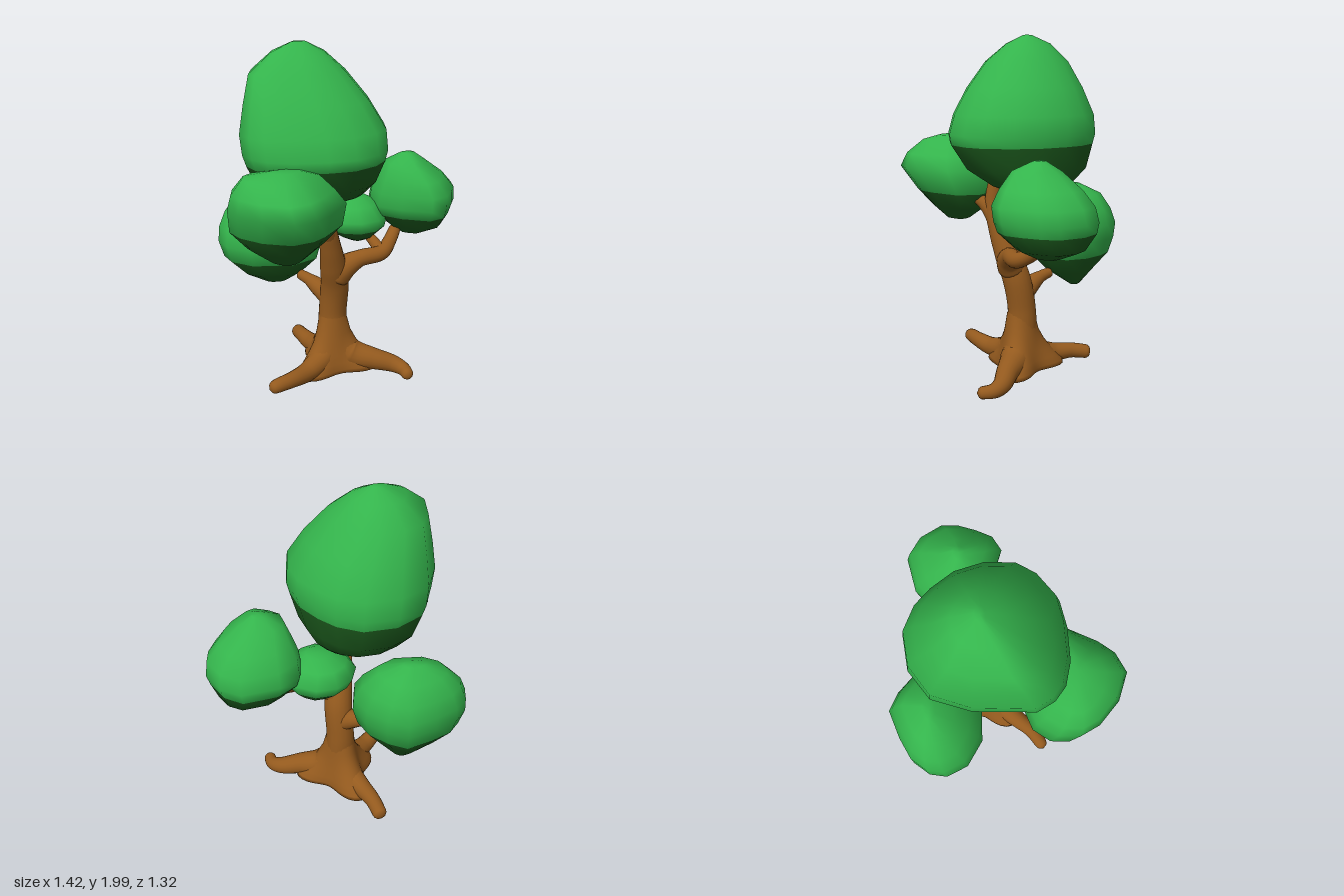
import * as THREE from 'three';
import { mergeVertices } from 'three/addons/utils/BufferGeometryUtils.js';

const bark = new THREE.MeshStandardMaterial({ color: 0x945a1e });
bark.name = 'bark brown';
const leaf = new THREE.MeshStandardMaterial({ color: 0x34b44c });
leaf.name = 'leaf green';
const shade = new THREE.MeshStandardMaterial({ color: 0x1c5a1d });
shade.name = 'deep green';

// Weld seams and smooth the normals of a wooden part
function wood(name, geometry) {
  geometry.deleteAttribute('uv');
  geometry.deleteAttribute('normal');
  const geo = mergeVertices(geometry, 1e-5);
  geo.computeVertexNormals();
  const mesh = new THREE.Mesh(geo, bark);
  mesh.name = name;
  return mesh;
}

// Tapered round-ended limb through points [x, y, z, radius], flattened at the ground
function limb(name, pts, endCap = 0.06) {
  const segs = 48, sides = 18;
  const curve = new THREE.CatmullRomCurve3(pts.map(p => new THREE.Vector3(p[0], p[1], p[2])));
  const geo = new THREE.TubeGeometry(curve, segs, 1, sides);
  const pos = geo.attributes.position, v = new THREE.Vector3();
  for (let i = 0; i <= segs; i++) {
    const u = i / segs, c = curve.getPointAt(u);
    const t = curve.getUtoTmapping(u) * (pts.length - 1);
    const k = Math.min(Math.floor(t), pts.length - 2);
    let r = THREE.MathUtils.lerp(pts[k][3], pts[k + 1][3], t - k);
    const e = Math.min(u, 1 - u) / endCap;
    if (e < 1) r *= Math.sqrt(1 - (1 - e) ** 2) + 1e-4;
    for (let j = 0; j <= sides; j++) {
      const n = i * (sides + 1) + j;
      v.fromBufferAttribute(pos, n).sub(c).multiplyScalar(r).add(c);
      pos.setXYZ(n, v.x, Math.max(v.y, 0.01), v.z);
    }
  }
  return wood(name, geo);
}

// Flared foot of the trunk, swelling towards each root direction [x, z]
function rootFlare(name, directions) {
  const profile = [[0, 0.02], [0.1, 0.02], [0.135, 0.035], [0.14, 0.06], [0.132, 0.1], [0.12, 0.15],
    [0.108, 0.2], [0.096, 0.27], [0.08, 0.38]];
  const geo = new THREE.LatheGeometry(profile.map(p => new THREE.Vector2(...p)), 48);
  const pos = geo.attributes.position, dirs = directions.map(d => new THREE.Vector2(...d).normalize());
  for (let i = 0; i < pos.count; i++) {
    const x = pos.getX(i), y = pos.getY(i), z = pos.getZ(i), r = Math.hypot(x, z) || 1;
    const lobe = dirs.reduce((s, d) => s + Math.max(0, (x * d.x + z * d.y) / r) ** 6, 0);
    const k = 1 + 1.2 * lobe * Math.max(0, 1 - y / 0.33) ** 1.3;
    pos.setXYZ(i, x * k - 0.07, y, z * k - 0.06);
  }
  return wood(name, geo);
}

// Leaf clump: a plan outline fitted into the box of every ring [y, xMin, xMax, zMin, zMax], top to bottom.
// Faces below the height "split" take the deep green.
function clump(name, outline, rings, split) {
  const area = outline.reduce((s, [x, z], i) => {
    const [x2, z2] = outline[(i + 1) % outline.length];
    return s + z * x2 - x * z2;
  }, 0);
  const plan = area < 0 ? [...outline].reverse() : outline;
  const xs = plan.map(p => p[0]), zs = plan.map(p => p[1]);
  const x0 = Math.min(...xs), x1 = Math.max(...xs), z0 = Math.min(...zs), z1 = Math.max(...zs);
  const n = plan.length, verts = [], light = [], dark = [];
  for (const [y, xa, xb, za, zb] of rings)
    for (const [x, z] of plan)
      verts.push(xa + (xb - xa) * (x - x0) / (x1 - x0), y, za + (zb - za) * (z - z0) / (z1 - z0));
  const last = rings.length - 1, top = rings.length * n, bottom = top + 1;
  for (const [y, xa, xb, za, zb] of [rings[0], rings[last]])
    verts.push((xa + xb) / 2, y, (za + zb) / 2);
  for (let j = 0; j < n; j++) {
    const k = (j + 1) % n;
    light.push(top, j, k);
    for (let i = 0; i < last; i++) {
      const a = i * n + j, b = a + n, c = (i + 1) * n + k, d = i * n + k;
      (rings[i][0] > split ? light : dark).push(a, b, c, a, c, d);
    }
    dark.push(bottom, last * n + k, last * n + j);
  }
  const geo = new THREE.BufferGeometry();
  geo.setAttribute('position', new THREE.Float32BufferAttribute(verts, 3));
  geo.setIndex([...light, ...dark]);
  geo.addGroup(0, light.length, 0);
  geo.addGroup(light.length, dark.length, 1);
  geo.computeVertexNormals();
  const mesh = new THREE.Mesh(geo, [leaf, shade]);
  mesh.name = name;
  return mesh;
}

export function createModel() {
  const tree = new THREE.Group();
  tree.name = 'tree';

  // Trunk and branches
  tree.add(
    limb('trunk', [
      [-0.07, 0.1, -0.06, 0.1], [-0.07, 0.24, -0.065, 0.092],
      [-0.068, 0.4, -0.065, 0.084], [-0.062, 0.58, -0.035, 0.084], [-0.08, 0.72, 0.015, 0.078],
      [-0.11, 0.88, 0.07, 0.06], [-0.135, 1.02, 0.1, 0.05], [-0.14, 1.22, 0.07, 0.045]], 0.02),
    limb('rightBranch', [
      [-0.07, 0.63, -0.01, 0.085], [-0.02, 0.7, 0.01, 0.076], [0.08, 0.752, 0.01, 0.05],
      [0.22, 0.765, -0.02, 0.046], [0.29, 0.81, -0.09, 0.04], [0.35, 0.88, -0.16, 0.034]]),
    limb('rightTwig', [[0.22, 0.77, -0.02, 0.038], [0.19, 0.81, -0.09, 0.032], [0.15, 0.86, -0.16, 0.026]]),
    limb('backBranch', [
      [-0.07, 0.48, -0.06, 0.07], [-0.14, 0.53, -0.13, 0.055], [-0.19, 0.56, -0.19, 0.036],
      [-0.24, 0.575, -0.255, 0.03]]),
    limb('frontBranch', [[-0.12, 0.93, 0.09, 0.048], [-0.15, 1.01, 0.14, 0.042], [-0.19, 1.07, 0.22, 0.028]])
  );

  // Roots
  tree.add(
    rootFlare('rootFlare', [[0.35, 0.1], [-0.33, 0.23], [-0.13, -0.4]]),
    limb('rightRoot', [
      [-0.07, 0.22, -0.05, 0.07], [0.03, 0.12, -0.02, 0.09], [0.16, 0.09, 0.03, 0.066],
      [0.28, 0.06, 0.07, 0.052], [0.33, 0.045, 0.12, 0.042], [0.34, 0.04, 0.21, 0.034]]),
    limb('leftRoot', [
      [-0.08, 0.22, -0.05, 0.07], [-0.14, 0.13, 0, 0.08], [-0.26, 0.09, 0.1, 0.058],
      [-0.37, 0.1, 0.19, 0.046], [-0.45, 0.1, 0.23, 0.042], [-0.505, 0.09, 0.25, 0.034]]),
    limb('backRoot', [
      [-0.07, 0.22, -0.07, 0.07], [-0.1, 0.12, -0.14, 0.085], [-0.16, 0.085, -0.26, 0.058],
      [-0.2, 0.08, -0.38, 0.046], [-0.22, 0.06, -0.505, 0.042]])
  );

  // Leaf clumps
  tree.add(
    clump('crown',
      [[-0.6, 0.12], [-0.54, -0.2], [-0.44, -0.4], [-0.27, -0.49], [-0.08, -0.49], [0.05, -0.41], [0.13, -0.31],
        [0.205, -0.17], [0.23, 0], [0.2, 0.17], [0.12, 0.27], [-0.02, 0.35], [-0.17, 0.36], [-0.36, 0.34],
        [-0.49, 0.29], [-0.56, 0.22]],
      [[2, -0.28, -0.2, -0.13, -0.08], [1.95, -0.4, -0.1, -0.24, 0.02], [1.85, -0.53, 0.01, -0.34, 0.14],
        [1.7, -0.57, 0.13, -0.42, 0.25], [1.55, -0.6, 0.22, -0.48, 0.33], [1.44, -0.59, 0.225, -0.49, 0.36],
        [1.38, -0.57, 0.21, -0.475, 0.35], [1.24, -0.51, 0.17, -0.44, 0.26], [1.14, -0.42, 0.11, -0.35, 0.11],
        [1.09, -0.33, 0.05, -0.27, -0.02]], 1.38),
    clump('frontClump',
      [[-0.4, 0.66], [-0.28, 0.62], [-0.2, 0.54], [-0.08, 0.36], [-0.1, 0.2], [-0.25, 0.08], [-0.45, 0.08],
        [-0.6, 0.12], [-0.68, 0.22], [-0.7, 0.34], [-0.66, 0.45], [-0.55, 0.58]],
      [[1.41, -0.48, -0.32, 0.32, 0.42], [1.38, -0.62, -0.22, 0.22, 0.52], [1.3, -0.68, -0.14, 0.14, 0.62],
        [1.22, -0.7, -0.08, 0.09, 0.66], [1.08, -0.69, -0.09, 0.08, 0.56], [0.98, -0.6, -0.19, 0.14, 0.47],
        [0.9, -0.48, -0.3, 0.24, 0.38]], 1.08),
    clump('backClump',
      [[-0.71, -0.4], [-0.68, -0.5], [-0.6, -0.58], [-0.47, -0.63], [-0.3, -0.67], [-0.2, -0.6], [-0.11, -0.49],
        [-0.07, -0.35], [-0.11, -0.21], [-0.28, -0.12], [-0.54, -0.16], [-0.67, -0.27]],
      [[1.1, -0.45, -0.32, -0.46, -0.39], [1.05, -0.57, -0.19, -0.57, -0.28], [0.96, -0.66, -0.11, -0.63, -0.2],
        [0.87, -0.7, -0.07, -0.66, -0.14], [0.78, -0.71, -0.07, -0.65, -0.12], [0.68, -0.68, -0.1, -0.62, -0.14],
        [0.57, -0.57, -0.2, -0.53, -0.24], [0.475, -0.42, -0.3, -0.45, -0.38]], 0.68),
    clump('rightClump',
      [[0.71, -0.2], [0.65, -0.34], [0.55, -0.42], [0.34, -0.4], [0.22, -0.32], [0.19, -0.2], [0.21, -0.05],
        [0.32, 0.05], [0.48, 0.13], [0.58, 0.09], [0.64, 0], [0.69, -0.1]],
      [[1.34, 0.36, 0.44, -0.16, -0.09], [1.29, 0.27, 0.51, -0.24, 0.02], [1.2, 0.23, 0.63, -0.34, 0.09],
        [1.12, 0.2, 0.7, -0.4, 0.13], [1.04, 0.19, 0.71, -0.42, 0.12], [0.98, 0.21, 0.69, -0.41, 0.1],
        [0.89, 0.3, 0.65, -0.35, 0], [0.835, 0.38, 0.52, -0.24, -0.1]], 0.98),
    clump('smallClump',
      Array.from({ length: 11 }, (_, i) => [Math.sin(i * Math.PI / 5.5), Math.cos(i * Math.PI / 5.5)]),
      [[1.08, 0.02, 0.16, -0.24, -0.11], [1.04, -0.07, 0.23, -0.33, -0.03], [0.97, -0.12, 0.29, -0.38, 0.03],
        [0.9, -0.09, 0.27, -0.35, 0.01], [0.84, 0, 0.21, -0.29, -0.06], [0.81, 0.06, 0.15, -0.22, -0.12]], 0.9)
  );
  return tree;
}
